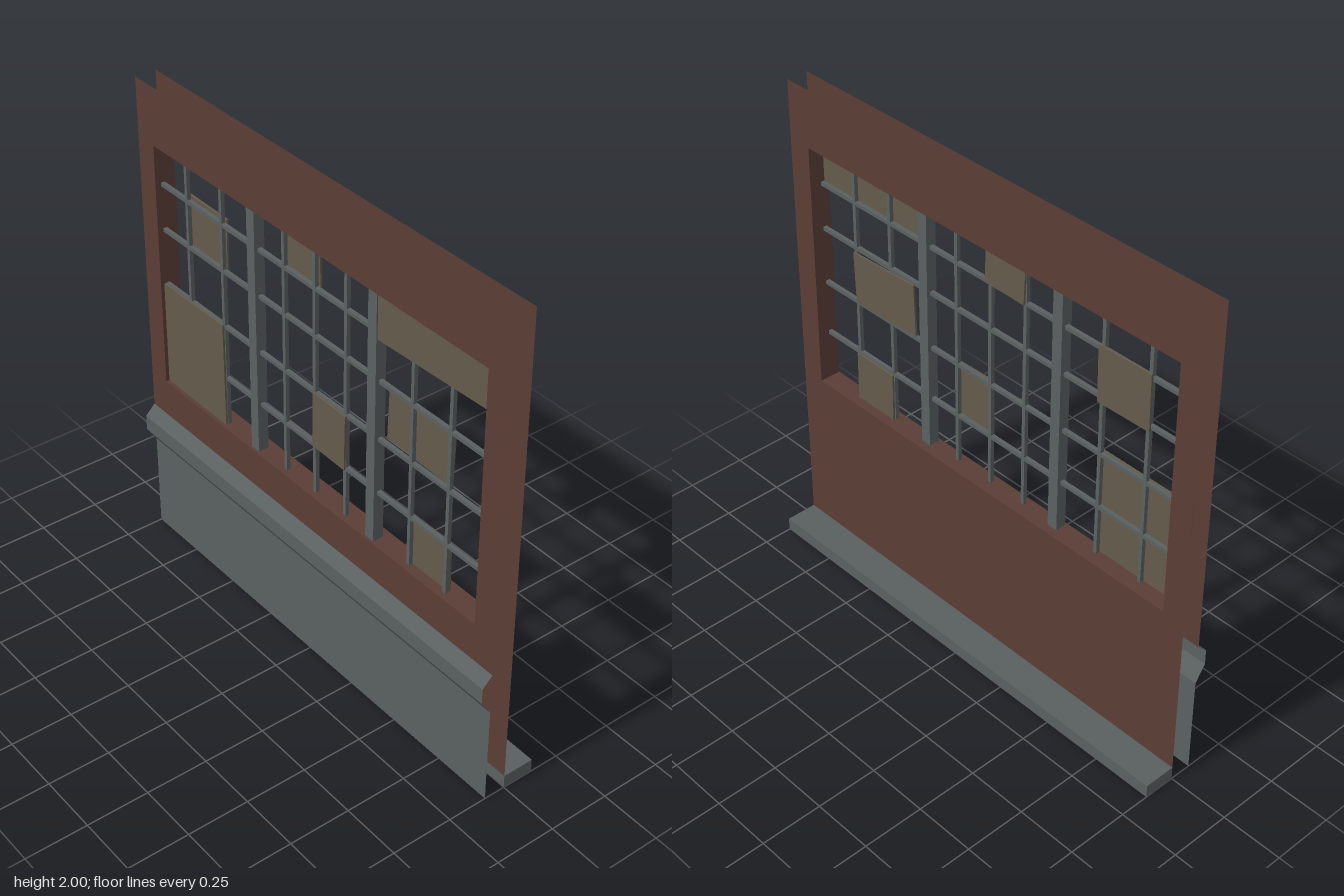
import * as THREE from 'three';

const mat = (name, color) => {
  const m = new THREE.MeshStandardMaterial({ color, side: THREE.DoubleSide });
  m.name = name;
  return m;
};

// Flat-shaded ribbon joining matching points of two polylines
function ribbon(a, b) {
  const pos = [];
  for (let i = 0; i < a.length - 1; i++) {
    pos.push(...a[i], ...b[i], ...b[i + 1], ...a[i], ...b[i + 1], ...a[i + 1]);
  }
  const g = new THREE.BufferGeometry();
  g.setAttribute('position', new THREE.Float32BufferAttribute(pos, 3));
  g.computeVertexNormals();
  return g;
}

export function createModel() {
  const group = new THREE.Group();
  const brown = mat('brown wall', 0x5a3e36);
  const grey = mat('grey trim', 0x5a6060);
  const wood = mat('weathered board', 0x645b4b);

  const add = (name, geo, material, x = 0, y = 0, z = 0) => {
    const mesh = new THREE.Mesh(geo, material);
    mesh.name = name;
    mesh.position.set(x, y, z);
    group.add(mesh);
    return mesh;
  };

  const FRONT = 0.088;
  const L = -0.905, R = 0.9, B = 0.737, T = 1.763;
  const opening = [[L, B], [L, T], [R, T], [R, B], [L, B]];

  // Wall skins, each with the window opening cut out
  const wallSkin = (bottom) => {
    const s = new THREE.Shape([[-1, bottom], [1, bottom], [1, 2], [-1, 2]].map(p => new THREE.Vector2(...p)));
    s.holes.push(new THREE.Path(opening.map(p => new THREE.Vector2(...p))));
    return new THREE.ShapeGeometry(s);
  };
  add('frontWall', wallSkin(0.58), brown, 0, 0, FRONT);
  const back = add('backWall', wallSkin(0), brown);
  back.geometry.scale(1, 1, -1);
  const index = back.geometry.index.array;
  for (let i = 0; i < index.length; i += 3) [index[i], index[i + 1]] = [index[i + 1], index[i]];
  back.geometry.computeVertexNormals();

  // Reveal lining the opening between the skins
  add('windowReveal', ribbon(opening.map(([x, y]) => [x, y, 0]),
    opening.map(([x, y]) => [x, y, FRONT])), brown);

  // Lower front panel with projecting sill moulding
  const profile = [[0.58, FRONT], [0.54, 0.13], [0.475, 0.13], [0.41, FRONT], [0, FRONT]];
  add('sillAndLowerPanel', ribbon(profile.map(([y, z]) => [1, y, z]),
    profile.map(([y, z]) => [-1, y, z])), grey);

  // Skirting along the back
  add('backSkirting', new THREE.BoxGeometry(2, 0.055, 0.13), grey, 0, 0.0275, -0.065);

  // Window bars
  const midX = (L + R) / 2, midY = (B + T) / 2, barZ = 0.056;
  for (const x of [-0.337, 0.331]) {
    add('mullion', new THREE.BoxGeometry(0.044, T - B, 0.044), grey, x, midY, barZ);
  }
  for (const x of [-0.745, -0.535, -0.17, 0.002, 0.174, 0.524, 0.715]) {
    add('verticalBar', new THREE.BoxGeometry(0.015, T - B, 0.016), grey, x, midY, barZ);
  }
  for (const y of [1.597, 1.406, 1.17, 0.943]) {
    add('horizontalBar', new THREE.BoxGeometry(R - L, 0.015, 0.016), grey, midX, y, barZ);
  }

  // Boards over broken panes: x, y, width, height, tilt in degrees, z
  const front = 0.069, rear = 0.043;
  const boards = [
    [-0.735, 0.945, 0.41, 0.465, 0.4, front],
    [0.625, 1.698, 0.58, 0.222, 2, front],
    [0.093, 1.06, 0.18, 0.23, -1.2, front],
    [-0.64, 1.505, 0.235, 0.228, -0.8, rear],
    [-0.08, 1.69, 0.19, 0.182, 2.5, rear],
    [0.55, 1.289, 0.33, 0.215, -2.3, rear],
    [0.62, 0.826, 0.2, 0.232, 0.5, rear],
  ];
  for (const [x, y, w, h, tilt, z] of boards) {
    const board = add('board', new THREE.BoxGeometry(w, h, 0.008), wood, x, y, z);
    board.rotation.z = THREE.MathUtils.degToRad(tilt);
  }
  return group;
}
